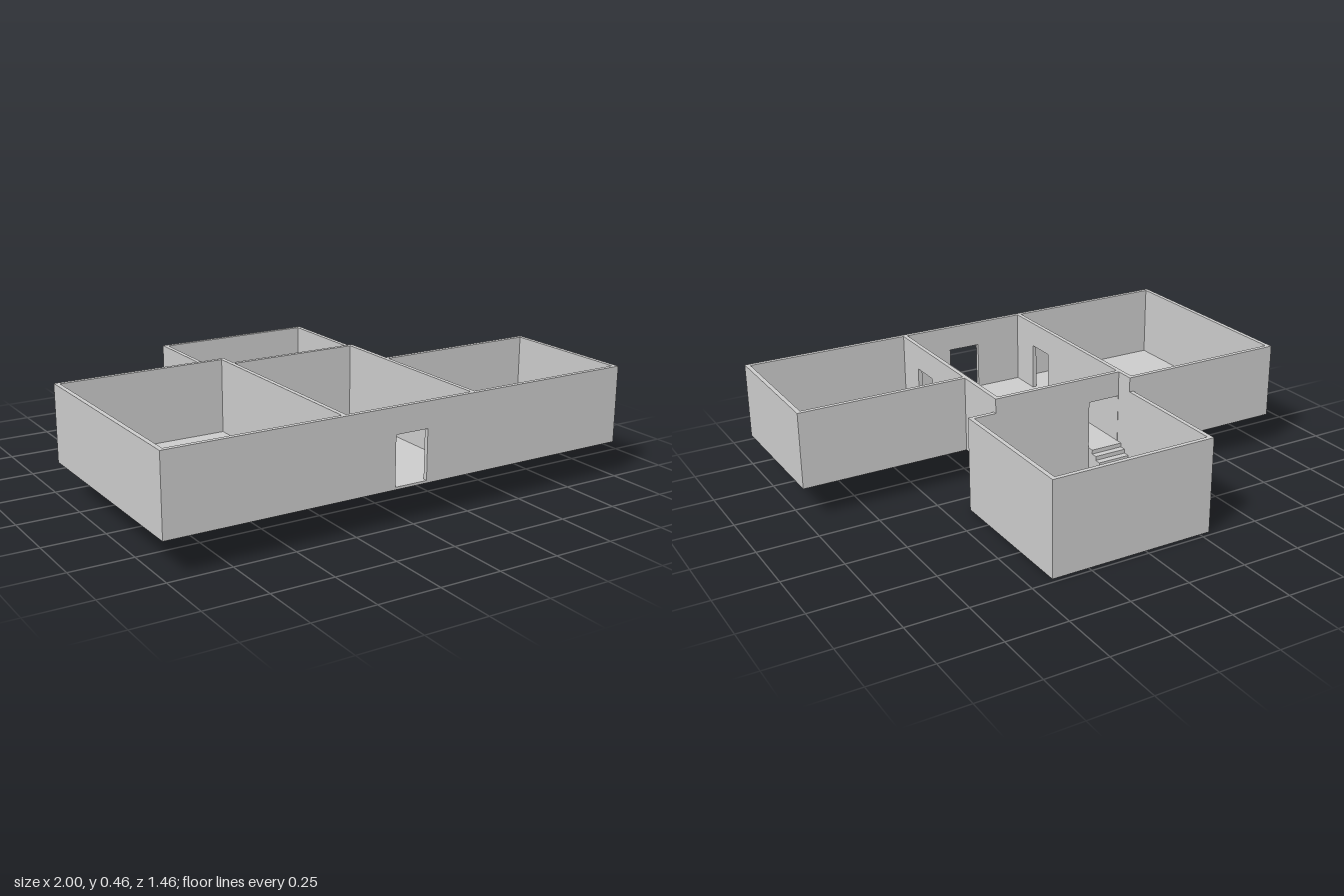
import * as THREE from 'three';

const T = 0.018;                       // wall thickness
const BASE = 0.14, SLAB = 0.01;        // main storey underside, floor thickness
const FLOOR = BASE + SLAB, TOP = 0.455, DOOR_TOP = 0.35;
const LOW_TOP = 0.395;                 // wall top of the sunken room

export function createModel() {
  const model = new THREE.Group();
  const mat = new THREE.MeshStandardMaterial({ color: 0xcccccc, flatShading: true });

  const add = (name, geo, parent = model) => {
    const mesh = new THREE.Mesh(geo, mat);
    mesh.name = name;
    parent.add(mesh);
    return mesh;
  };

  const box = (name, x0, x1, y0, y1, z0, z1, parent) => {
    const geo = new THREE.BoxGeometry(x1 - x0, y1 - y0, z1 - z0);
    geo.translate((x0 + x1) / 2, (y0 + y1) / 2, (z0 + z1) / 2);
    return add(name, geo, parent);
  };

  // Upright slab with an optional door hole [from, to]
  const slab = (from, to, y0, y1, door) => {
    const rect = (P, a, b, c, d) => {
      const p = new P();
      p.moveTo(a, c); p.lineTo(b, c); p.lineTo(b, d); p.lineTo(a, d); p.closePath();
      return p;
    };
    const shape = rect(THREE.Shape, from, to, y0, y1);
    if (door) shape.holes.push(rect(THREE.Path, door[0], door[1], FLOOR, DOOR_TOP));
    return new THREE.ExtrudeGeometry(shape, { depth: T, bevelEnabled: false });
  };

  // Wall along x, occupying z .. z + T
  const wallX = (name, x0, x1, z, door, y0 = BASE, y1 = TOP) =>
    add(name, slab(x0, x1, y0, y1, door).translate(0, 0, z));

  // Wall along z, occupying x .. x + T
  const wallZ = (name, z0, z1, x, door, y0 = BASE, y1 = TOP) => {
    const flipped = door && [-door[1], -door[0]];
    add(name, slab(-z1, -z0, y0, y1, flipped).rotateY(Math.PI / 2).translate(x, 0, 0));
  };

  const F = 0.73, L = -0.293, R = 0.293;    // front face, hall sides
  const sideBack = -0.197, hallBack = -0.118, smallBack = 0.138;
  const sideDoor = [0.44, 0.575];

  // Main storey walls
  wallX('frontWall', -1, 1, F - T, [-0.07, 0.07]);
  wallZ('largeRoomOuterWall', sideBack, F - T, -1);
  wallX('largeRoomBackWall', -1 + T, L, sideBack);
  wallZ('largeRoomInnerWall', sideBack, F - T, L, sideDoor);
  wallX('hallBackWall', L + T, R, hallBack, [L + T + 0.001, -0.135]);
  wallZ('smallRoomInnerWall', hallBack, F - T, R - T, sideDoor);
  wallX('smallRoomBackWall', R, 1 - T, smallBack);
  wallZ('smallRoomOuterWall', smallBack, F - T, 1 - T);

  // Main storey floors
  box('largeRoomFloor', -1 + T, L, BASE, FLOOR, sideBack + T, F - T);
  box('hallFloor', L + T, R - T, BASE, FLOOR, hallBack + T, F - T);
  box('smallRoomFloor', R, 1 - T, BASE, FLOOR, smallBack + T, F - T);

  // Sunken back room
  const B = -0.73, E = 0.405, front = hallBack + T;
  wallX('sunkenBackWall', L, E, B, null, 0, LOW_TOP);
  wallZ('sunkenRightWall', B + T, sideBack, L, null, 0, LOW_TOP);
  wallZ('sunkenRightWallBase', sideBack, front, L, null, 0, BASE);
  wallZ('sunkenLeftWall', B + T, front, E - T, null, 0, LOW_TOP);
  wallX('sunkenFrontWallBase', L + T, E - T, hallBack, null, 0, BASE);
  wallX('sunkenFrontWall', R, E - T, hallBack, null, BASE, LOW_TOP);
  box('sunkenFloor', L + T, E - T, 0, SLAB, B + T, hallBack);

  // Stairs from the hall door down to the sunken floor
  const stairs = new THREE.Group();
  stairs.name = 'stairs';
  model.add(stairs);
  const steps = 8, run = 0.0273, rise = (FLOOR - SLAB) / steps;
  for (let i = 0; i < steps; i++) {
    const z1 = hallBack - i * run;
    box('step', L + T, -0.135, SLAB, FLOOR - i * rise, z1 - run, z1, stairs);
  }

  return model;
}
